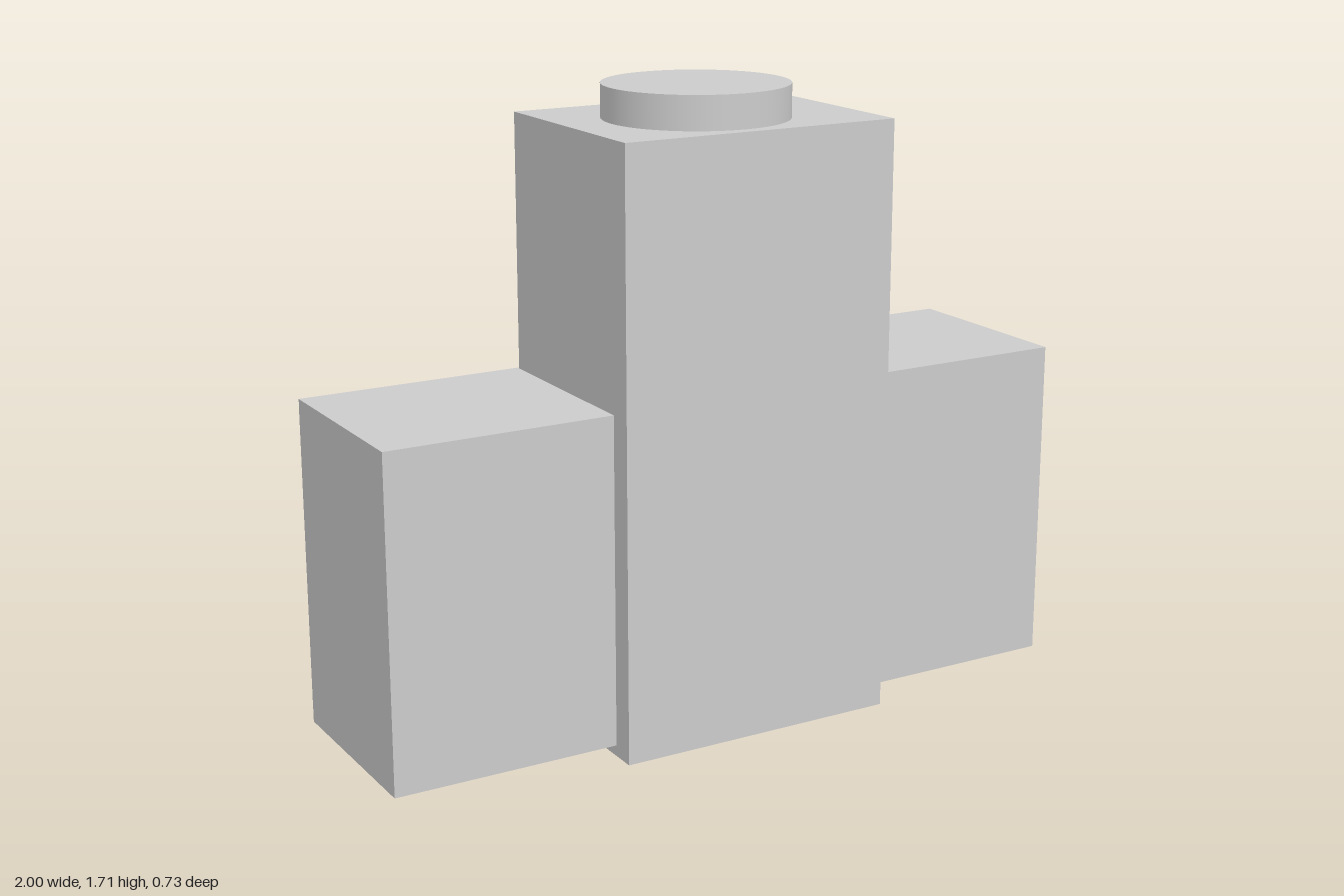
import * as THREE from 'three';

const material = new THREE.MeshStandardMaterial({ color: 0xcccccc });

export function createModel() {
  const model = new THREE.Group();

  function add(name, geometry, x, y, z, parent = model) {
    const mesh = new THREE.Mesh(geometry, material);
    mesh.name = name;
    mesh.position.set(x, y, z);
    parent.add(mesh);
    return mesh;
  }

  // Box given by its limits
  function block(name, x0, x1, y0, y1, z0, z1) {
    const geometry = new THREE.BoxGeometry(x1 - x0, y1 - y0, z1 - z0);
    add(name, geometry, (x0 + x1) / 2, (y0 + y1) / 2, (z0 + z1) / 2);
  }

  // Rounded cover plate, from z0 forward by depth
  function plate(name, x0, x1, y0, y1, r, z0, depth) {
    const s = new THREE.Shape();
    s.absarc(x1 - r, y1 - r, r, 0, Math.PI / 2);
    s.absarc(x0 + r, y1 - r, r, Math.PI / 2, Math.PI);
    s.absarc(x0 + r, y0 + r, r, Math.PI, Math.PI * 1.5);
    s.absarc(x1 - r, y0 + r, r, Math.PI * 1.5, Math.PI * 2);
    add(name, new THREE.ExtrudeGeometry(s, { depth, bevelEnabled: false, curveSegments: 8 }), 0, 0, z0);
  }

  // Round part whose axis runs along z
  function disc(name, r, depth, x, y, zMid, parent) {
    const geometry = new THREE.CylinderGeometry(r, r, depth, 32).rotateX(Math.PI / 2);
    return add(name, geometry, x, y, zMid, parent);
  }

  // Main housings
  block('tower', -0.375, 0.415, 0, 1.62, -0.24, 0.36);
  block('crossBox', -1, 1, 0.03, 0.925, -0.25, 0.293);
  plate('towerBackPanel', -0.37, 0.41, 0.01, 1.61, 0.06, -0.247, 0.007);
  plate('crossBoxBackPanel', -0.998, 0.998, 0.032, 0.923, 0.035, -0.256, 0.006);
  add('topPort', new THREE.CylinderGeometry(0.247, 0.247, 0.095, 64), -0.01, 1.6625, 0.078);

  // Corner screws on the back panel
  for (const x of [-0.955, 0.955]) {
    for (const y of [0.068, 0.88]) {
      disc('screwWasher', 0.03, 0.004, x, y, -0.257);
      disc('screw', 0.015, 0.034, x, y, -0.271);
    }
  }

  // Row of round sockets, each with a rectangular recess
  const ring = new THREE.Shape().absarc(0, 0, 0.042, 0, Math.PI * 2);
  const slot = new THREE.Path();
  slot.moveTo(-0.02, -0.012).lineTo(-0.02, 0.012).lineTo(0.02, 0.012).lineTo(0.02, -0.012).closePath();
  ring.holes.push(slot);
  const socketGeometry = new THREE.ExtrudeGeometry(ring, { depth: 0.012, bevelEnabled: false, curveSegments: 16 });
  for (let i = 0; i < 4; i++) {
    const x = -0.17 + i * 0.137;
    add('socket', socketGeometry, x, 0.183, -0.268);
    add('socketRim', new THREE.TorusGeometry(0.033, 0.004, 6, 32), x, 0.183, -0.267);
    add('socketContact', new THREE.BoxGeometry(0.022, 0.01, 0.008), x, 0.183, -0.259);
  }

  // Rotary switch: round base with a tilted, pointed grip
  const knob = new THREE.Group();
  knob.name = 'rotarySwitch';
  knob.position.set(0, 1.387, -0.247);
  knob.rotation.z = THREE.MathUtils.degToRad(20);
  model.add(knob);
  disc('switchBase', 0.078, 0.055, 0, 0, -0.0275, knob);

  // Grip is slightly deeper toward its pointed end
  const grip = new THREE.BoxGeometry(0.22, 0.07, 0.076);
  const p = grip.attributes.position;
  for (let i = 0; i < p.count; i++) {
    if (p.getX(i) > 0 && p.getZ(i) < 0) p.setZ(i, p.getZ(i) - 0.008);
  }
  grip.computeVertexNormals();
  add('switchGrip', grip, 0, 0, -0.072, knob);

  // Square frustum that forms the pointer
  const tip = new THREE.CylinderGeometry(0.014, 0.05, 0.036, 4, 1).rotateY(Math.PI / 4)
    .rotateZ(-Math.PI / 2).toNonIndexed();
  tip.computeVertexNormals();
  add('switchPointer', tip, 0.128, 0, -0.077, knob);

  return model;
}
